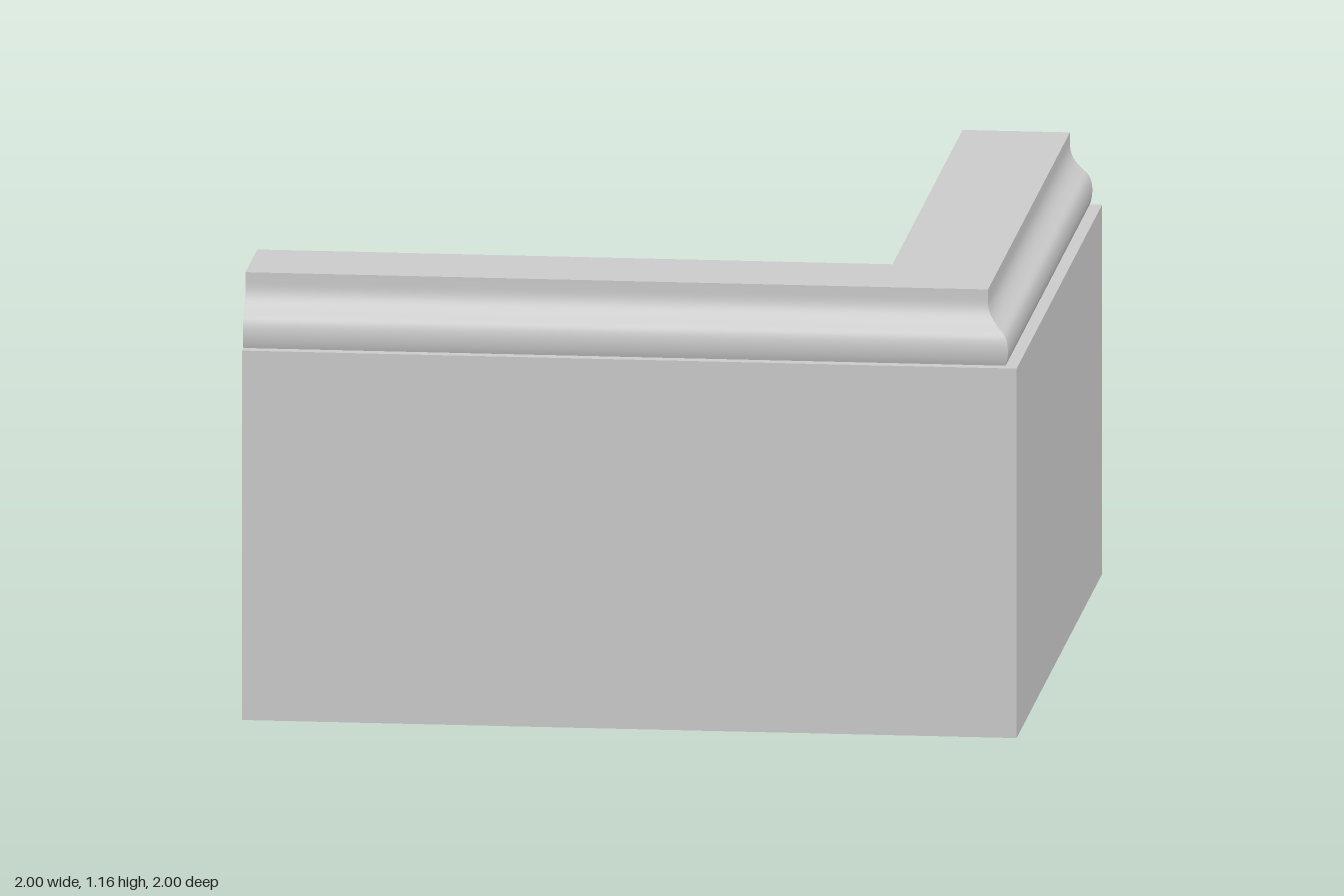
import * as THREE from 'three';
import { toCreasedNormals } from 'three/addons/utils/BufferGeometryUtils.js';

// Cross-section of the board: x is the distance outwards, y is the height (counter-clockwise)
function boardProfile() {
  const shape = new THREE.Shape();
  shape.moveTo(0.64, 0);
  shape.lineTo(1, 0);
  shape.lineTo(1, 0.97);
  shape.lineTo(0.968, 0.97);
  // rounded bead, then hollow cove up to the top edge
  shape.bezierCurveTo(0.978, 0.995, 0.978, 1.035, 0.962, 1.052);
  shape.bezierCurveTo(0.94, 1.072, 0.915, 1.09, 0.917, 1.135);
  shape.lineTo(0.917, 1.158);
  shape.lineTo(0.64, 1.158);
  shape.closePath();
  const points = shape.getPoints(10);
  if (points[0].distanceTo(points[points.length - 1]) < 1e-6) points.pop();
  return points;
}

// Sweep the profile round a right-angled corner with a mitre joint
function mitredSweep(profile) {
  const stations = [
    p => [-1, p.y, p.x],
    p => [p.x, p.y, p.x],
    p => [p.x, p.y, -1],
  ];
  const n = profile.length;
  const positions = stations.flatMap(place => profile.flatMap(place));
  const index = [];
  for (let s = 0; s < stations.length - 1; s++) {
    for (let i = 0; i < n; i++) {
      const j = (i + 1) % n;
      const a = s * n + i, b = a + n, c = (s + 1) * n + j, d = s * n + j;
      index.push(a, b, c, a, c, d);
    }
  }
  // flat ends of both legs
  const last = (stations.length - 1) * n;
  for (const [a, b, c] of THREE.ShapeUtils.triangulateShape(profile, [])) {
    index.push(a, b, c, last + a, last + c, last + b);
  }
  const geometry = new THREE.BufferGeometry();
  geometry.setAttribute('position', new THREE.Float32BufferAttribute(positions, 3));
  geometry.setIndex(index);
  return toCreasedNormals(geometry, 0.5);
}

export function createModel() {
  const group = new THREE.Group();
  group.name = 'mouldedCorner';
  const material = new THREE.MeshStandardMaterial({ color: 0xcccccc });
  const board = new THREE.Mesh(mitredSweep(boardProfile()), material);
  board.name = 'cornerBoard';
  group.add(board);
  return group;
}
